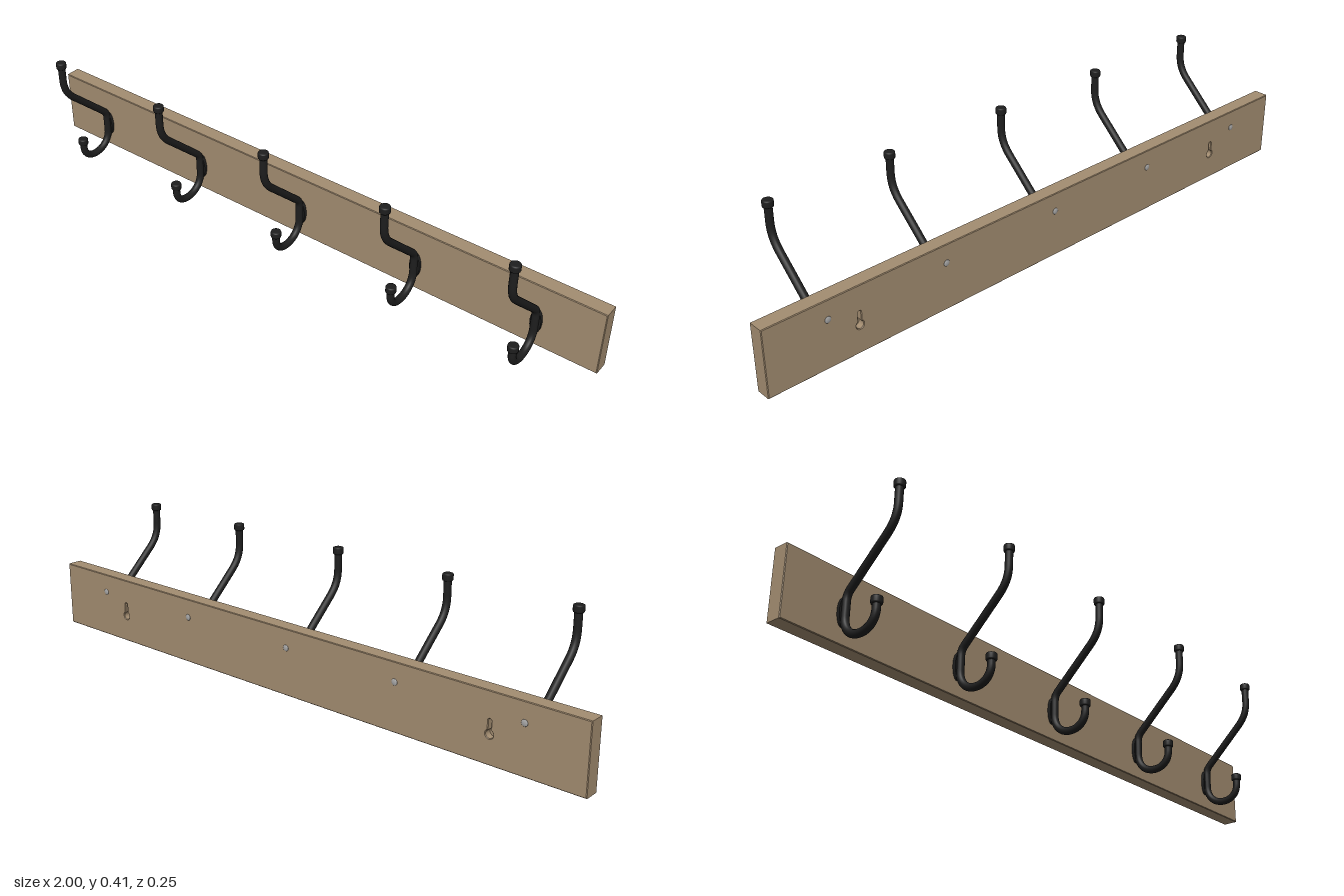
import * as THREE from 'three';

const wood = new THREE.MeshStandardMaterial({ color: 0xa38d71 });
wood.name = 'wood';
const iron = new THREE.MeshStandardMaterial({ color: 0x1e1e1e });
iron.name = 'blackIron';
const steel = new THREE.MeshStandardMaterial({ color: 0xa8a8a8 });
steel.name = 'steel';

const HOOK_X = [-0.813, -0.4, 0, 0.414, 0.807];
const KEYHOLE_X = [-0.71, 0.71];
const BOTTOM = 0.005, TOP = 0.213, BACK = -0.122, FRONT = -0.073;
const BEVEL = 0.002, ROD = 0.0115;

function mesh(name, geometry, material, parent) {
  const m = new THREE.Mesh(geometry, material);
  m.name = name;
  parent.add(m);
  return m;
}

// Keyhole outline: round opening below, narrow slot above
function keyhole(x) {
  const p = new THREE.Path();
  const R = 0.014, r = 0.007, y = 0.092, top = 0.13;
  const a = Math.asin(r / R);
  p.absarc(x, y, R, Math.PI / 2 + a, Math.PI / 2 - a + Math.PI * 2, false);
  p.absarc(x, top, r, 0, Math.PI, false);
  p.closePath();
  return p;
}

// One layer of the board with softened edges
function boardLayer(z0, z1, holes) {
  const s = new THREE.Shape();
  const x = 1 - BEVEL, b = BOTTOM + BEVEL, t = TOP - BEVEL;
  s.moveTo(-x, b);
  s.lineTo(x, b);
  s.lineTo(x, t);
  s.lineTo(-x, t);
  s.closePath();
  s.holes = holes;
  const g = new THREE.ExtrudeGeometry(s, {
    depth: z1 - z0 - 2 * BEVEL, bevelEnabled: true, bevelSize: BEVEL,
    bevelThickness: BEVEL, bevelSegments: 1, curveSegments: 16,
  });
  return g.translate(0, 0, z0 + BEVEL);
}

// Centre line of the double hook, from the upper tip to the lower tip
function hookPath() {
  const v = (z, y) => new THREE.Vector3(0, y, z);
  const path = new THREE.CurvePath();
  path.add(new THREE.LineCurve3(v(0.11, 0.395), v(0.11, 0.345)));
  path.add(new THREE.CubicBezierCurve3(v(0.11, 0.345), v(0.11, 0.31), v(0.097, 0.287), v(0.075, 0.266)));
  path.add(new THREE.LineCurve3(v(0.075, 0.266), v(-0.046, 0.153)));
  path.add(new THREE.QuadraticBezierCurve3(v(-0.046, 0.153), v(-0.06, 0.141), v(-0.06, 0.122)));
  path.add(new THREE.LineCurve3(v(-0.06, 0.122), v(-0.06, 0.075)));
  path.add(new THREE.CubicBezierCurve3(v(-0.06, 0.075), v(-0.06, 0.038), v(-0.033, 0.0135), v(0.003, 0.0135)));
  path.add(new THREE.CubicBezierCurve3(v(0.003, 0.0135), v(0.035, 0.0135), v(0.055, 0.034), v(0.055, 0.062)));
  path.add(new THREE.LineCurve3(v(0.055, 0.062), v(0.055, 0.085)));
  return path;
}

// Knob with rounded rims
function knobGeometry() {
  const h = 0.011, r = 0.016, c = 0.004;
  const profile = [[0, -h], [r - c, -h], [r - 0.001, -h + 0.0015], [r, -h + c],
    [r, h - c], [r - 0.001, h - 0.0015], [r - c, h], [0, h]];
  return new THREE.LatheGeometry(profile.map(([x, y]) => new THREE.Vector2(x, y)), 24);
}

export function createModel() {
  const group = new THREE.Group();
  group.name = 'coatRack';

  // Board: solid front layer, back layer with blind keyholes
  const board = new THREE.Group();
  board.name = 'board';
  group.add(board);
  mesh('boardFront', boardLayer(-0.1, FRONT, []), wood, board);
  mesh('boardBack', boardLayer(BACK, -0.094, KEYHOLE_X.map(keyhole)), wood, board);

  // Shared geometries
  const rod = new THREE.TubeGeometry(hookPath(), 96, ROD, 16, false);
  const knob = knobGeometry();
  const plate = new THREE.CylinderGeometry(0.017, 0.017, 0.011, 32)
    .rotateX(Math.PI / 2).scale(1, 2.45, 1);
  const screw = new THREE.SphereGeometry(0.01, 16, 6, 0, Math.PI * 2, 0, Math.PI / 2)
    .rotateX(-Math.PI / 2).scale(1, 1, 0.3);

  HOOK_X.forEach((x) => {
    const hook = new THREE.Group();
    hook.name = 'hook';
    hook.position.x = x;
    group.add(hook);
    mesh('hookRod', rod, iron, hook);
    mesh('upperKnob', knob, iron, hook).position.set(0, 0.399, 0.11);
    mesh('lowerKnob', knob, iron, hook).position.set(0, 0.085, 0.055);
    mesh('mountingPlate', plate, iron, hook).position.set(0, 0.093, -0.0685);
    // Screw end on the back of the board
    mesh('screw', screw, steel, hook).position.set(0, 0.154, BACK);
  });

  return group;
}
